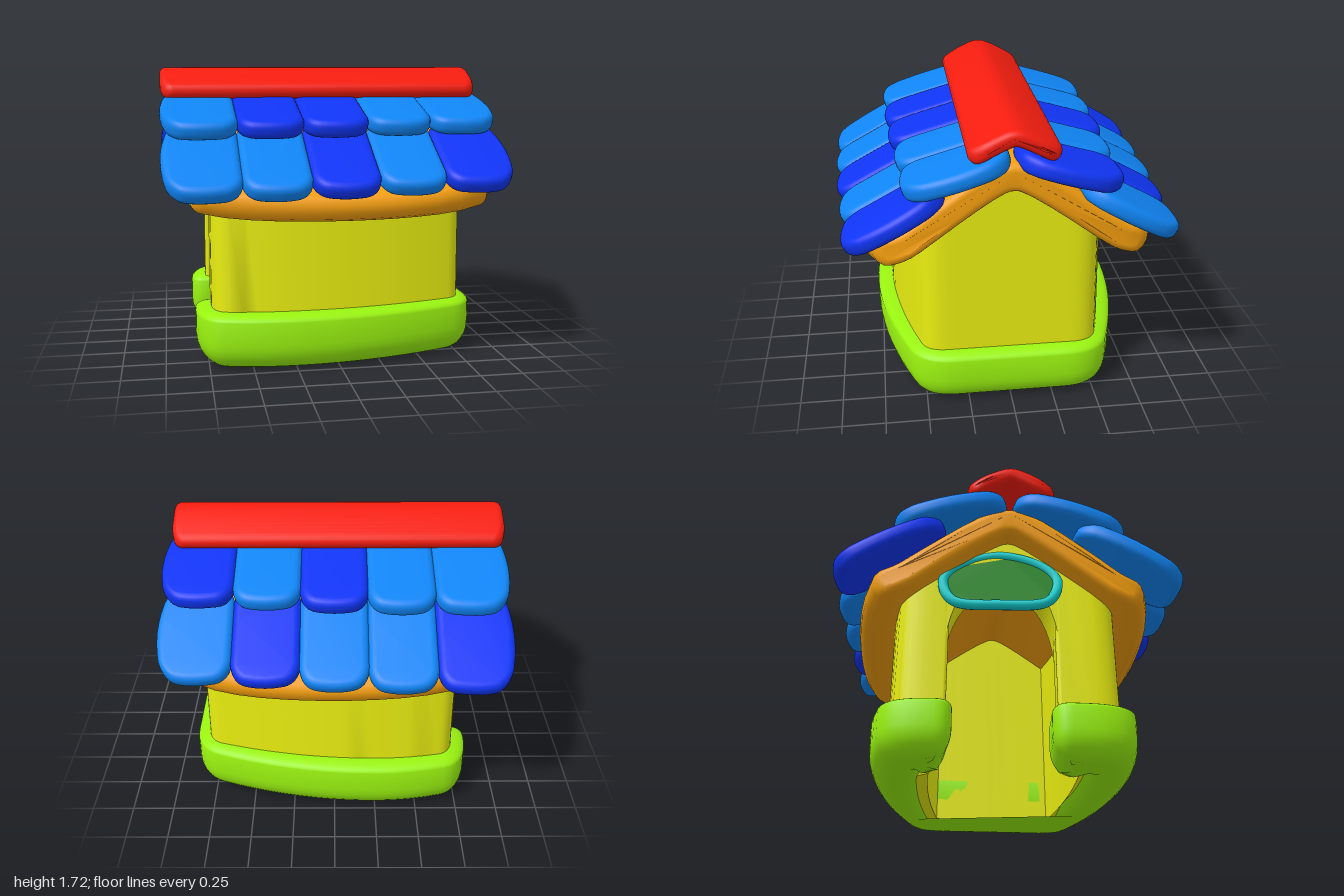
import * as THREE from 'three';
import { toCreasedNormals } from 'three/addons/utils/BufferGeometryUtils.js';

const COLORS = {
  lime: 0x99f210, yellow: 0xe9ee10, orange: 0xf59f0f, red: 0xf51d0f,
  light: 0x1085f5, dark: 0x1035f5, teal: 0x10cfd0, green: 0x0f7f10,
};
const materials = {};
for (const key in COLORS) materials[key] = new THREE.MeshStandardMaterial({ color: COLORS[key] });

function part(name, geometry, color) {
  const mesh = new THREE.Mesh(toCreasedNormals(geometry, 0.8), materials[color]);
  mesh.name = name;
  return mesh;
}

// Moves every vertex by a rule
function warp(geometry, rule) {
  const pos = geometry.attributes.position;
  const v = new THREE.Vector3();
  for (let i = 0; i < pos.count; i++) {
    rule(v.fromBufferAttribute(pos, i));
    pos.setXYZ(i, v.x, v.y, v.z);
  }
  return geometry;
}

// Long walls bow outwards and draw in towards both ends, more so at +x
function bow(x) {
  const d = x + 0.25;
  return d > 0 ? 1 - 0.28 * (d / 1.05) ** 2 : 1 - 0.1 * (d / 0.5) ** 2;
}

// Wall or plinth plan: a thick bowed ring of half depth h, wall thickness t
// (td beside the door), with a door gap in the -x side, its ends rounded by e
function doorPlan(x0, x1, h, r, t, td, gapBack, gapFront, e) {
  const s = new THREE.Path();
  const xi = x0 + td;
  s.moveTo(x0 + e, gapBack);
  s.quadraticCurveTo(x0, gapBack, x0, Math.min(gapBack + e, h - 2 * r));
  s.lineTo(x0, h - 2 * r);
  s.quadraticCurveTo(x0, h, x0 + r, h);
  s.lineTo(x1 - r, h);
  s.quadraticCurveTo(x1, h, x1, h - 2 * r);
  s.lineTo(x1, -h + 2 * r);
  s.quadraticCurveTo(x1, -h, x1 - r, -h);
  s.lineTo(x0 + r, -h);
  s.quadraticCurveTo(x0, -h, x0, -h + 2 * r);
  s.lineTo(x0, Math.max(-gapFront - e, -h + 2 * r));
  s.quadraticCurveTo(x0, -gapFront, x0 + e, -gapFront);
  s.lineTo(xi - 0.04, -gapFront);
  s.quadraticCurveTo(xi, -gapFront, xi, -gapFront - 0.04);
  s.lineTo(xi, -h + t);
  s.lineTo(x1 - t, -h + t);
  s.lineTo(x1 - t, h - t);
  s.lineTo(xi, h - t);
  s.lineTo(xi, gapBack + 0.04);
  s.quadraticCurveTo(xi, gapBack, xi - 0.04, gapBack);
  const corners = s.getPoints(8).filter((p, i, a) => i === 0 || p.distanceTo(a[i - 1]) > 1e-4);
  const pts = [];
  corners.forEach((p, i) => {
    const q = corners[(i + 1) % corners.length];
    const n = Math.max(1, Math.ceil(p.distanceTo(q) / 0.1));
    for (let k = 0; k < n; k++) {
      const m = p.clone().lerp(q, k / n);
      pts.push(m.setY(m.y * bow(m.x)));
    }
  });
  return new THREE.Shape(pts);
}

// Extrudes a (z, y) profile along x with rounded ends kept inside x0..x1
function alongX(shape, x0, x1, bevel, steps = 1) {
  const g = new THREE.ExtrudeGeometry(shape, {
    depth: x1 - x0 - 2 * bevel, steps, curveSegments: 10, bevelEnabled: bevel > 0,
    bevelThickness: bevel, bevelSize: bevel, bevelSegments: 5,
  });
  return g.rotateY(Math.PI / 2).translate(x0 + bevel, 0, 0);
}

// Bent strip outline with round tips around a centre line mirrored at z = 0
function chevron(half, thickness) {
  const left = half.slice(1).reverse().map(([z, y]) => [-z, y]);
  const curve = new THREE.SplineCurve([...left, ...half].map((p) => new THREE.Vector2(...p)));
  const n = 24, top = [], bottom = [];
  const cap = (u) => {
    const p = curve.getPoint(u), t = curve.getTangent(u);
    const start = Math.atan2(t.y, t.x) + (u ? -Math.PI / 2 : Math.PI / 2);
    return [0, 1, 2, 3, 4, 5, 6].map((k) => {
      const a = start + (k * Math.PI) / 6;
      return new THREE.Vector2(p.x + (Math.cos(a) * thickness) / 2, p.y + (Math.sin(a) * thickness) / 2);
    });
  };
  for (let i = 1; i < n; i++) {
    const p = curve.getPoint(i / n), t = curve.getTangent(i / n);
    const off = new THREE.Vector2(-t.y, t.x).multiplyScalar(thickness / 2);
    top.push(p.clone().add(off));
    bottom.push(p.clone().sub(off));
  }
  return new THREE.Shape([...cap(0), ...bottom, ...cap(1), ...top.reverse()]);
}

// Height of the wall top, hidden inside the roof board
const GABLE = [[0, 1.4], [0.15, 1.36], [0.4, 1.19], [0.8, 0.94]];
function gableHeight(z) {
  const a = Math.min(Math.abs(z), 0.8);
  const i = a <= 0.15 ? 0 : a <= 0.4 ? 1 : 2;
  const [z0, y0] = GABLE[i], [z1, y1] = GABLE[i + 1];
  return y0 + ((y1 - y0) * (a - z0)) / (z1 - z0);
}

// Cushioned roof tile lying flat, length along z; outer (-1, 0, 1) is the
// side on the roof's end, which bulges
function tileGeometry(w, len, outer) {
  const b = 0.042, x = w / 2 - b, y = len / 2 - b, c = 0.06;
  const s = new THREE.Shape();
  s.moveTo(-x + c, -y);
  s.quadraticCurveTo(0, -y - 0.02, x - c, -y);
  s.quadraticCurveTo(x - 0.01, -y + 0.01, x, -y + 0.08);
  s.quadraticCurveTo(x, 0, x, y - 0.08);
  s.quadraticCurveTo(x - 0.01, y - 0.01, x - c, y);
  s.quadraticCurveTo(0, y + 0.02, -x + c, y);
  s.quadraticCurveTo(-x + 0.01, y - 0.01, -x, y - 0.08);
  s.quadraticCurveTo(-x, 0, -x, -y + 0.08);
  s.quadraticCurveTo(-x + 0.01, -y + 0.01, -x + c, -y);
  const g = new THREE.ExtrudeGeometry(s, {
    depth: 0.022, curveSegments: 6, bevelThickness: b, bevelSize: b, bevelSegments: 5,
  });
  g.translate(0, 0, -0.011).rotateX(-Math.PI / 2);
  return warp(g, (v) => {
    if (v.x * outer > 0) v.x -= 0.06 * (v.x / (w / 2)) * ((2 * v.z) / len) ** 2;
  });
}

export function createModel() {
  const house = new THREE.Group();
  house.name = 'house';

  // Plinth: soft lower edge, tight upper edge
  const plinth = new THREE.ExtrudeGeometry(doorPlan(-0.82, 0.87, 0.77, 0.15, 0.33, 0.4, 0.34, 0.26, 0.13), {
    depth: 0.13, bevelThickness: 0.16, bevelSize: 0.13, bevelOffset: -0.13, bevelSegments: 7,
  }).rotateX(-Math.PI / 2).translate(0, 0.16, 0);
  warp(plinth, (v) => { if (v.y > 0.29) v.y = 0.29 + (v.y - 0.29) * 0.28; });
  house.add(part('plinth', plinth, 'lime'));

  // Walls: plan raised to the gable line, leaning in slightly; the door posts
  // stop inside the plinth
  const walls = new THREE.ExtrudeGeometry(doorPlan(-0.73, 0.79, 0.68, 0.09, 0.25, 0.25, 0.38, 0.3, 0.03), {
    depth: 1, bevelEnabled: false,
  }).rotateX(-Math.PI / 2);
  warp(walls, (v) => {
    const base = v.x < -0.45 ? 0.2 : 0.03;
    v.y = base + v.y * (gableHeight(v.z) - base);
    v.z *= 1 - 0.03 * v.y;
  });
  house.add(part('walls', walls, 'yellow'));

  // Arched piece over the doorway
  const arch = new THREE.Shape();
  arch.moveTo(-0.29, 0.7);
  arch.quadraticCurveTo(-0.25, 1.12, 0.03, 1.16);
  arch.quadraticCurveTo(0.31, 1.12, 0.36, 0.7);
  [0.36, 0.15, 0, -0.15, -0.29].forEach((z) => arch.lineTo(z, gableHeight(z)));
  house.add(part('doorArch', alongX(arch, -0.729, -0.485, 0), 'yellow'));

  // Framed plaque hanging above the doorway
  const outline = new THREE.CatmullRomCurve3(
    [[-0.27, -0.16], [0, -0.19], [0.27, -0.16], [0.33, 0], [0.24, 0.12], [0, 0.2], [-0.24, 0.12], [-0.33, 0]]
      .map(([x, y]) => new THREE.Vector3(x, y, 0)), true);
  const plaque = new THREE.Group();
  plaque.name = 'plaque';
  plaque.add(part('plaqueFrame', new THREE.TubeGeometry(outline, 64, 0.03, 10, true), 'teal'));
  const panel = new THREE.Shape(outline.getPoints(48).map((p) => new THREE.Vector2(p.x, p.y)));
  plaque.add(part('plaquePanel', new THREE.ExtrudeGeometry(panel, { depth: 0.02, bevelEnabled: false })
    .translate(0, 0, -0.01), 'green'));
  plaque.position.set(-0.76, 1.08, -0.05);
  plaque.rotation.set(-0.25, -Math.PI / 2 - 0.06, 0, 'YXZ');
  house.add(plaque);

  // Roof board, its eaves bowed and drawn up and in towards the ends
  const board = alongX(chevron([[0, 1.438], [0.15, 1.38], [0.45, 1.17], [0.67, 1.015], [0.8, 0.958]], 0.075), -0.87, 0.9, 0.045, 12);
  warp(board, (v) => {
    const q = (v.x / 0.88) ** 2;
    const reach = Math.max(0, (Math.abs(v.z) - 0.3) / 0.58);
    const k = (0.07 * q + 0.05 * q ** 3) * reach;
    v.x *= 1 - 0.06 * reach ** 4;
    v.z -= Math.sign(v.z) * k;
    v.y += 0.6 * k;
  });
  house.add(part('roofBoard', board, 'orange'));

  // Two rows of tiles on each slope
  const edges = [-1, -0.57, -0.19, 0.19, 0.57, 0.99];
  const inset = [0, 0.005, 0.02, 0.05, 0.07];
  const rows = [
    { name: 'frontUpperTile', side: 1, z: 0.345, y: 1.455, len: 0.66, tilt: 0.28, tones: 'LDDLL' },
    { name: 'frontLowerTile', side: 1, z: 0.688, y: 1.21, len: 0.68, tilt: 0.5, tones: 'LLDLD' },
    { name: 'backUpperTile', side: -1, z: 0.345, y: 1.455, len: 0.66, tilt: 0.28, tones: 'LLDLD' },
    { name: 'backLowerTile', side: -1, z: 0.688, y: 1.21, len: 0.68, tilt: 0.5, tones: 'DLLDL' },
  ];
  for (const row of rows) {
    for (let i = 0; i < 5; i++) {
      const w = edges[i + 1] - edges[i];
      const outer = i === 0 ? -1 : i === 4 ? 1 : 0;
      const geometry = tileGeometry(w + 0.008, row.len - inset[i], outer);
      const tile = part(row.name, geometry, row.tones[i] === 'L' ? 'light' : 'dark');
      tile.position.set((edges[i] + edges[i + 1]) / 2, row.y, row.side * (row.z - inset[i] / 2));
      tile.rotation.x = row.side * row.tilt;
      house.add(tile);
    }
  }

  // Ridge cap with rounded corners
  const ridge = alongX(chevron([[0, 1.673], [0.08, 1.647], [0.205, 1.582]], 0.016), -1, 0.95, 0.039);
  warp(ridge, (v) => { v.x -= Math.sign(v.x) * 0.04 * (Math.max(0, Math.abs(v.z) - 0.13) / 0.12) ** 2; });
  house.add(part('ridgeCap', ridge, 'red'));

  return house;
}
